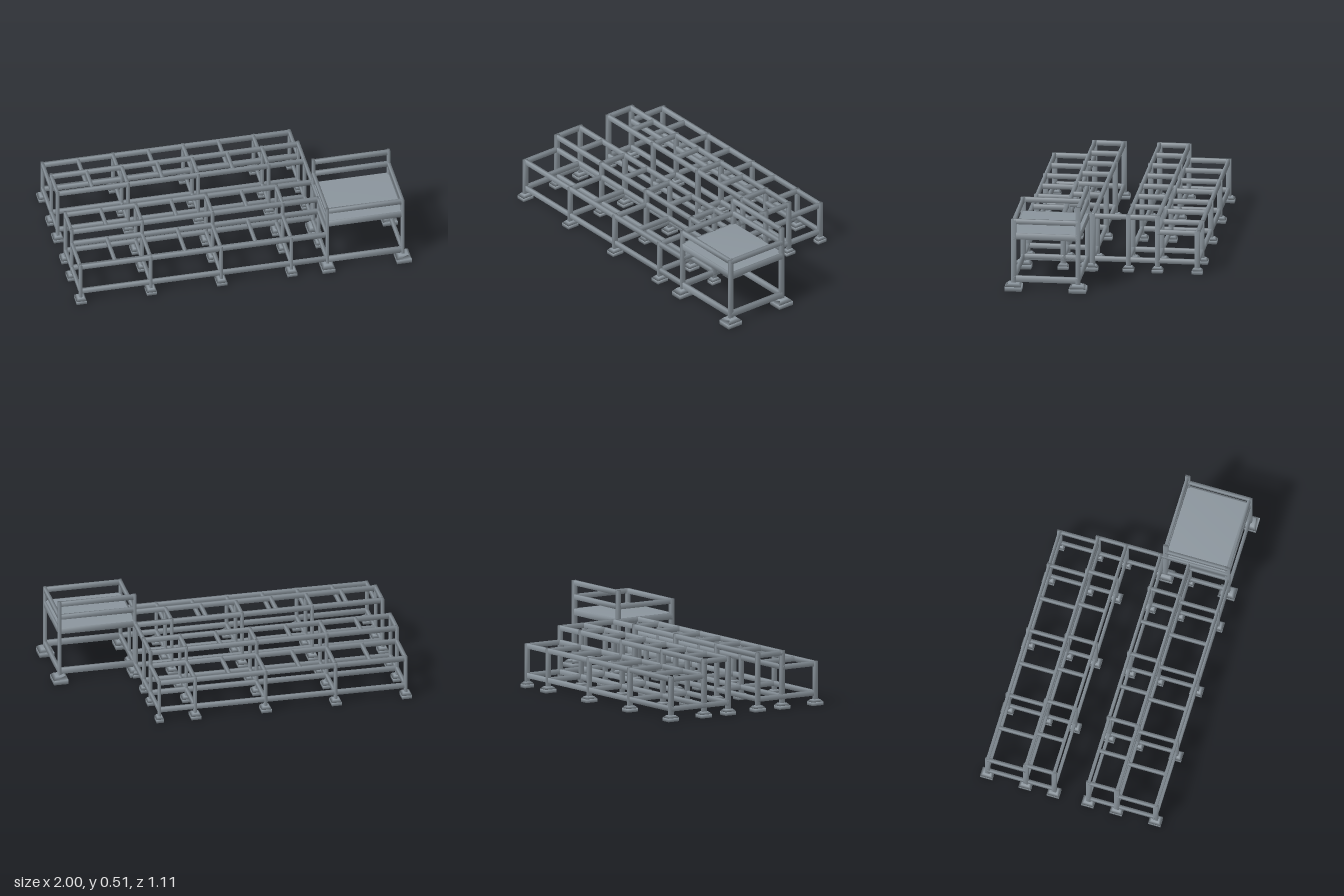
import * as THREE from 'three';
import { mergeVertices } from 'three/addons/utils/BufferGeometryUtils.js';

const steel = new THREE.MeshStandardMaterial({ color: 0x8b959d });
steel.name = 'steelGrey';

const T = 0.017; // tube thickness
const H = 0.029; // tube depth

// Box with softened corner normals; the top can be narrowed
function softBox(w, h, d, taper = 1) {
  let g = new THREE.BoxGeometry(w, h, d);
  const p = g.attributes.position;
  for (let i = 0; i < p.count; i++) {
    if (p.getY(i) > 0) p.setXYZ(i, p.getX(i) * taper, p.getY(i), p.getZ(i) * taper);
  }
  g.deleteAttribute('normal');
  g.deleteAttribute('uv');
  g = mergeVertices(g);
  g.computeVertexNormals();
  return g;
}

function add(group, name, geometry, x, y, z) {
  const m = new THREE.Mesh(geometry, steel);
  m.name = name;
  m.position.set(x, y, z);
  group.add(m);
}

// Rails are placed by the height of their top edge
function railX(g, name, x0, x1, top, z, h = H) {
  add(g, name, softBox(x1 - x0, h, T), (x0 + x1) / 2, top - h / 2, z);
}
function railZ(g, name, x, top, z0, z1, h = H) {
  add(g, name, softBox(T, h, Math.abs(z1 - z0)), x, top - h / 2, (z0 + z1) / 2);
}

// Post standing on a bevelled foot
function post(g, x, z, top, footW, footD, footH = 0.035) {
  const base = footH * 0.6;
  add(g, 'footBase', softBox(footW, base, footD), x, base / 2, z);
  add(g, 'footTaper', softBox(footW, footH - base, footD, 0.6), x, (base + footH) / 2, z);
  add(g, 'post', softBox(T, top - 0.02, H), x, (top + 0.02) / 2, z);
}

const LOW = 0.26, HIGH = 0.345, BASE = 0.086;
const X0 = -0.97, X1 = 0.505;
const postXs = [-0.97, -0.55, -0.13, 0.29, 0.505];
const midXs = [-0.76, -0.34, 0.08];

// Two-step frame: low outer row, then two high rows
function steppedFrame(name, outer, middle, inner) {
  const g = new THREE.Group();
  g.name = name;
  const rows = [[outer, LOW], [middle, HIGH], [inner, HIGH]];
  for (const [z, top] of rows) {
    railX(g, 'topRail', X0, X1, top, z);
    railX(g, 'baseRail', X0, X1, BASE, z);
    for (const x of postXs) {
      if (name === 'frontFrame' && x === X1 && z === outer) continue; // shared tower post
      post(g, x, z, top, x === X1 ? 0.045 : 0.06, x === X1 ? 0.064 : 0.075);
    }
  }
  railX(g, 'stepRail', X0, X1, LOW, middle);
  for (const x of postXs) {
    railZ(g, 'baseCrossRail', x, BASE, outer, inner);
  }
  for (const x of [...postXs, ...midXs]) {
    railZ(g, 'lowCrossRail', x, LOW, outer, middle);
    railZ(g, 'highCrossRail', x, HIGH, middle, inner);
  }
  return g;
}

// Raised platform with guard rails
function tower() {
  const g = new THREE.Group();
  g.name = 'tower';
  const xs = [0.505, 0.955], zf = 0.505, zb = 0.127;
  for (const x of xs) {
    const w = x > 0.9 ? 0.088 : 0.075;
    post(g, x, zf, 0.43, w, 0.1, 0.045);
    post(g, x, zb, 0.513, w, 0.1, 0.045);
    railZ(g, 'sideGuardRail', x, 0.43, zb, zf);
    railZ(g, 'sideDeckBeam', x, HIGH, zb, zf, 0.037);
    railZ(g, 'sideBaseRail', x, BASE, zb, zf, 0.036);
  }
  for (const z of [zb, zf]) {
    railX(g, 'guardRail', xs[0], xs[1], 0.43, z);
    railX(g, 'deckBeam', xs[0], xs[1], HIGH, z, 0.037);
    railX(g, 'baseRail', xs[0], xs[1], BASE, z, 0.036);
  }
  railX(g, 'backTopRail', xs[0], xs[1], 0.513, zb);
  add(g, 'deck', softBox(0.446, 0.012, 0.385), 0.73, 0.34, 0.314);
  return g;
}

export function createModel() {
  const model = new THREE.Group();
  model.name = 'steppedSteelFrame';
  model.add(steppedFrame('frontFrame', 0.505, 0.27, 0.097));
  model.add(steppedFrame('backFrame', -0.518, -0.284, -0.113));
  // Link between the two frames
  const link = new THREE.Group();
  link.name = 'frameLink';
  railZ(link, 'linkTopRail', X1, HIGH, -0.113, 0.097);
  railZ(link, 'linkBaseRail', X1, BASE, -0.113, 0.097);
  model.add(link);
  model.add(tower());
  return model;
}
